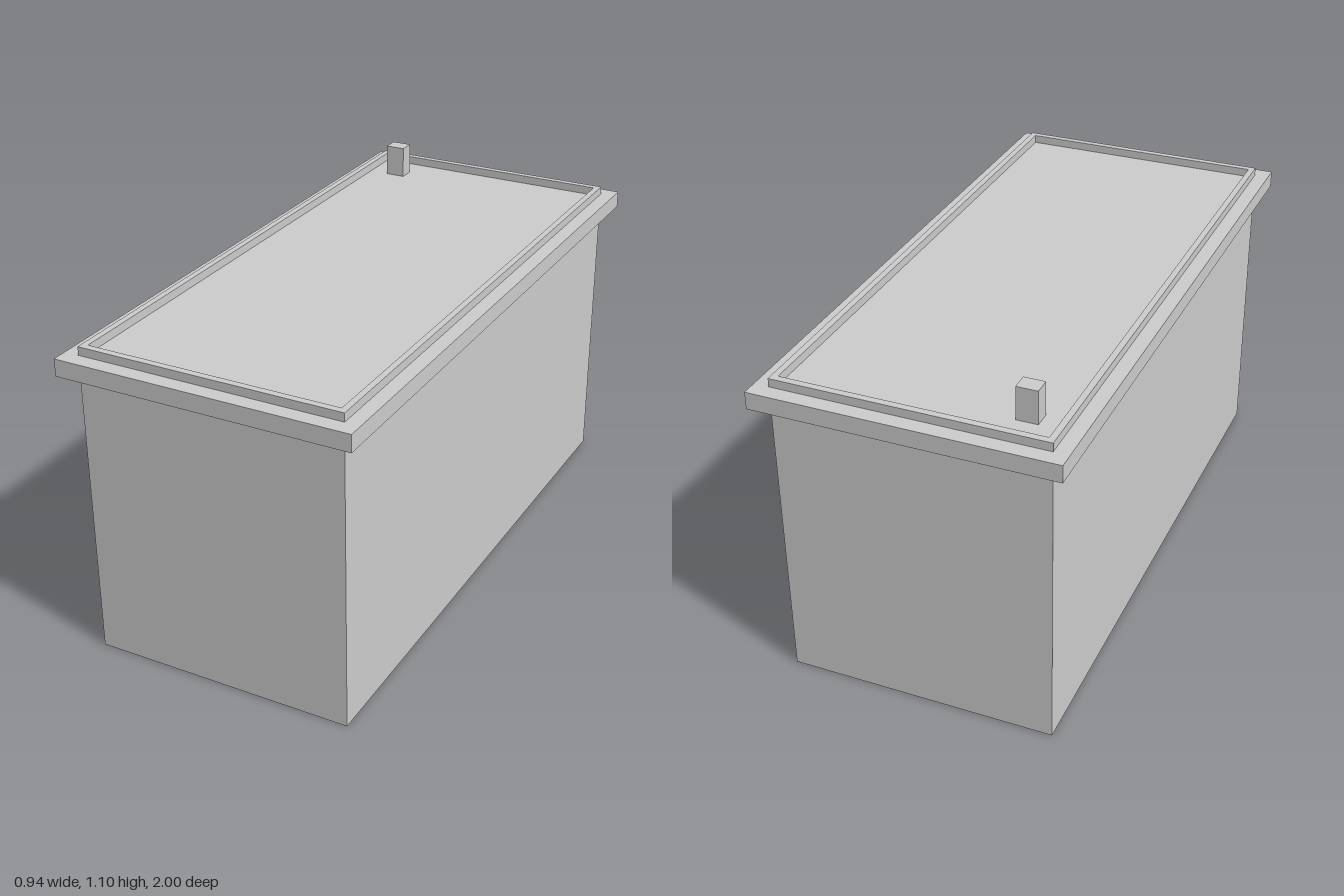
import * as THREE from 'three';

const WALL_X = 0.425, WALL_Z = 0.95, ROOF_Y = 0.995;

// Rectangle outline centred on the origin
function rect(PathType, hx, hz) {
  return new PathType([[-hx, -hz], [hx, -hz], [hx, hz], [-hx, hz]].map(p => new THREE.Vector2(...p)));
}

// Horizontal rectangular frame between two heights
function frame(outerX, outerZ, innerX, innerZ, bottom, top) {
  const shape = rect(THREE.Shape, outerX, outerZ);
  shape.holes.push(rect(THREE.Path, innerX, innerZ));
  return new THREE.ExtrudeGeometry(shape, { depth: top - bottom, bevelEnabled: false })
    .rotateX(-Math.PI / 2)
    .translate(0, bottom, 0);
}

export function createModel() {
  const model = new THREE.Group();
  model.name = 'flatRoofBuilding';
  const grey = new THREE.MeshStandardMaterial({ color: 0xcccccc, side: THREE.DoubleSide });
  grey.name = 'grey';

  function add(name, geometry) {
    const mesh = new THREE.Mesh(geometry, grey);
    mesh.name = name;
    model.add(mesh);
  }

  // Thin walls, open at the bottom
  for (const [name, width, distance, turn] of [
    ['frontWall', WALL_X * 2, WALL_Z, 0],
    ['leftWall', WALL_Z * 2, WALL_X, 1],
    ['backWall', WALL_X * 2, WALL_Z, 2],
    ['rightWall', WALL_Z * 2, WALL_X, 3],
  ]) {
    add(name, new THREE.PlaneGeometry(width, ROOF_Y)
      .translate(0, ROOF_Y / 2, distance)
      .rotateY(turn * Math.PI / 2));
  }

  // Overhanging cornice and the low parapet above it
  add('cornice', frame(0.472, 1, WALL_X, WALL_Z, 0.94, ROOF_Y));
  add('parapet', frame(WALL_X, WALL_Z, 0.405, 0.928, ROOF_Y, 1.022));

  // Flat roof surface inside the parapet
  add('roof', new THREE.PlaneGeometry(WALL_X * 2, WALL_Z * 2)
    .rotateX(-Math.PI / 2)
    .translate(0, ROOF_Y, 0));

  // Small chimney in the back right corner
  const chimneyHeight = 1.1 - ROOF_Y;
  add('chimney', new THREE.BoxGeometry(0.066, chimneyHeight, 0.054)
    .translate(-0.307, ROOF_Y + chimneyHeight / 2, -0.818));

  return model;
}
